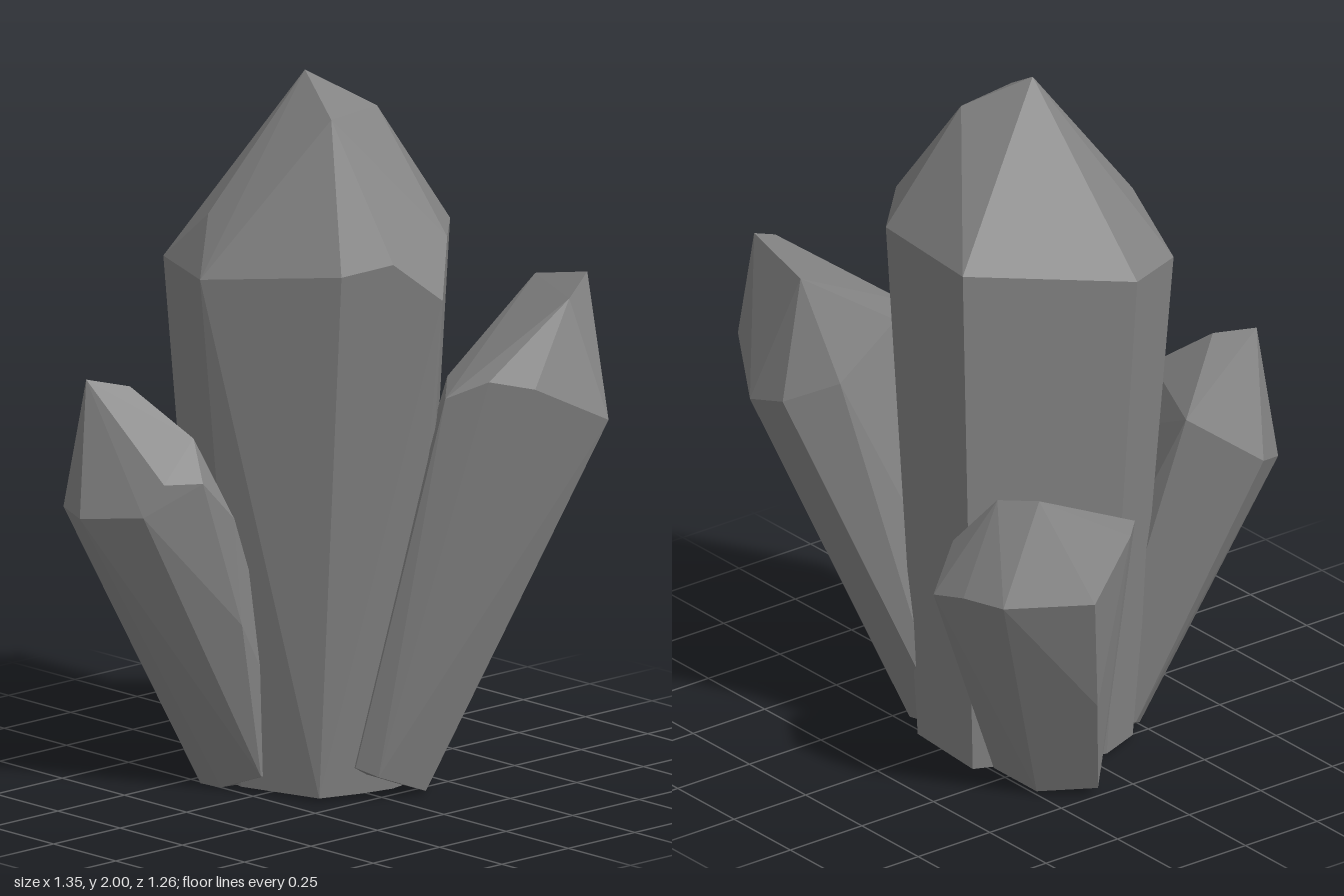
import * as THREE from 'three';
import { ConvexGeometry } from 'three/addons/geometries/ConvexGeometry.js';

// Each crystal is a convex faceted prism: foot ring, shoulder ring, and tip corners.
const crystals = {
  mainCrystal: {
    foot: [[-0.17, 0.01, -0.3], [0.1, 0.01, -0.28], [0.21, 0.01, -0.16], [0.23, 0.01, -0.06], [0.21, 0.01, 0.04],
      [0.17, 0.01, 0.16], [-0.07, 0.01, 0.23], [-0.27, 0.01, 0.18], [-0.32, 0.01, 0.05]],
    shoulder: [[-0.24, 1.56, -0.39], [0.14, 1.56, -0.36], [0.31, 1.57, -0.19], [0.42, 1.43, -0.07], [0.35, 1.54, 0.05],
      [0.27, 1.51, 0.17], [-0.09, 1.47, 0.365], [-0.35, 1.47, 0.26], [-0.43, 1.48, 0.07], [0.35, 0.8, -0.06]],
    tip: [[-0.08, 2, -0.02], [0.09, 1.9, 0.04], [0.06, 1.9, -0.16], [-0.18, 1.62, 0.25]],
  },
  backCrystal: {
    foot: [[0.31, 0.01, -0.11], [0.22, 0.09, 0.07], [0.28, 0.07, 0.04], [0.2, 0.01, -0.23], [0.05, 0.03, -0.22],
      [0.05, 0.05, 0]],
    shoulder: [[0.67, 1.07, -0.46], [0.6, 1.18, -0.25], [0.51, 1.2, -0.16], [0.42, 1.15, -0.08], [0.3, 1.17, -0.2],
      [0.19, 1.1, -0.48], [0.28, 1.05, -0.61], [0.4, 1.02, -0.63]],
    tip: [[0.515, 1.45, -0.525], [0.555, 1.4, -0.42], [0.29, 1.4, -0.54]],
  },
  frontCrystal: {
    foot: [[0, 0.05, 0.22], [-0.13, 0, 0.25], [-0.2, 0, 0.26], [-0.26, 0.04, 0.2], [-0.2, 0, 0.08], [0, 0.03, 0.05]],
    shoulder: [[-0.47, 0.83, 0.48], [-0.42, 0.8, 0.57], [-0.29, 0.8, 0.63], [-0.12, 0.82, 0.55], [-0.09, 0.91, 0.5],
      [-0.03, 0.91, 0.41], [0.02, 0.5, 0.31], [0, 0.8, 0.32], [-0.38, 0.98, 0.28]],
    tip: [[-0.35, 1.17, 0.55], [-0.27, 1.15, 0.46], [-0.1, 1.02, 0.38]],
  },
  sideCrystal: {
    foot: [[-0.51, 0.03, -0.13], [-0.39, 0.01, -0.25], [-0.2, 0.01, -0.25], [-0.37, 0.11, 0.01], [-0.28, 0.11, 0.03]],
    shoulder: [[-0.675, 0.69, -0.27], [-0.61, 0.34, -0.21], [-0.51, 0.67, -0.46], [-0.37, 0.66, -0.49],
      [-0.25, 0.63, -0.5], [-0.49, 0.75, 0], [-0.42, 0.75, 0.07], [-0.21, 0.75, -0.4]],
    tip: [[-0.44, 0.92, -0.28], [-0.33, 0.9, -0.34]],
  },
};

export function createModel() {
  const group = new THREE.Group();
  group.name = 'crystalCluster';
  const material = new THREE.MeshStandardMaterial({ color: 0x828282, flatShading: true });
  for (const [name, { foot, shoulder, tip }] of Object.entries(crystals)) {
    const corners = [...foot, ...shoulder, ...tip].map((p) => new THREE.Vector3(...p));
    const mesh = new THREE.Mesh(new ConvexGeometry(corners), material);
    mesh.name = name;
    group.add(mesh);
  }
  return group;
}
